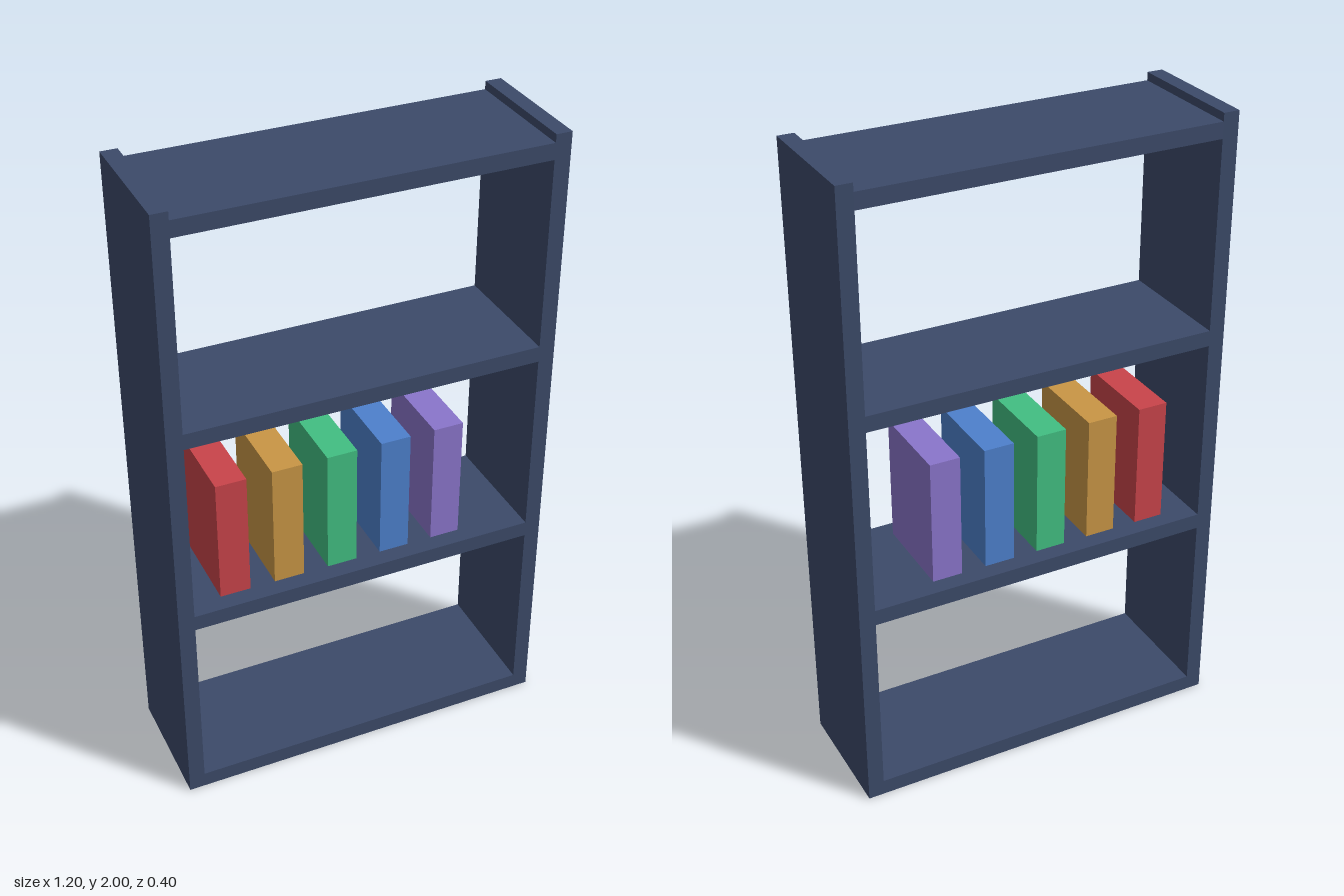
import * as THREE from 'three';

const material = (name, color) => {
  const m = new THREE.MeshStandardMaterial({ color });
  m.name = name;
  return m;
};

export function createModel() {
  const model = new THREE.Group();
  model.name = 'bookshelf';

  const navy = material('navy', 0x3c4a69);

  const addBox = (name, mat, [w, h, d], [x, bottom, z]) => {
    const mesh = new THREE.Mesh(new THREE.BoxGeometry(w, h, d), mat);
    mesh.name = name;
    mesh.position.set(x, bottom + h / 2, z);
    model.add(mesh);
  };

  const depth = 0.4, board = 0.05, shelfGap = 0.6417;

  // Side panels
  addBox('leftPanel', navy, [board, 2, depth], [0.575, 0, 0]);
  addBox('rightPanel', navy, [board, 2, depth], [-0.575, 0, 0]);

  // Four evenly spaced shelves between the panels
  for (let i = 0; i < 4; i++) {
    addBox(`shelf${i + 1}`, navy, [1.1, board, depth], [0, i * shelfGap, 0]);
  }

  // Row of books standing on the second shelf
  const covers = [
    ['red', 0xc9444a],
    ['ochre', 0xc99645],
    ['green', 0x42bf82],
    ['blue', 0x4d80cc],
    ['purple', 0x8a75cb],
  ];
  covers.forEach(([name, color], i) => {
    addBox(`${name}Book`, material(name, color), [0.095, 0.4, 0.29],
      [-0.4 + i * 0.173, shelfGap + board, 0]);
  });

  return model;
}
